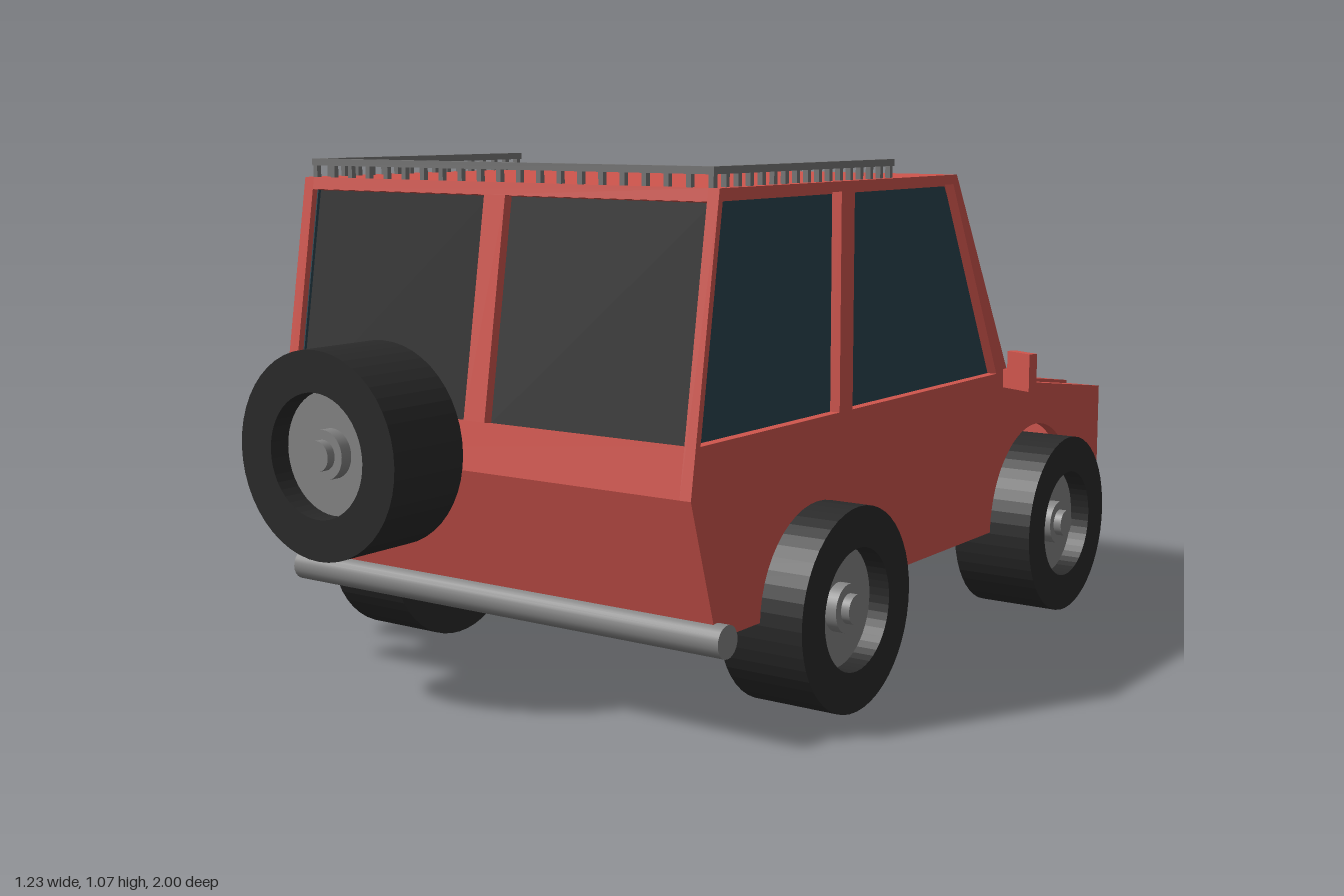
import * as THREE from 'three';

const mat = (color, side = THREE.FrontSide) => new THREE.MeshStandardMaterial({ color, side });
const RED = mat(0xd0554d, THREE.DoubleSide), GLASS = mat(0x2b4550), DARK = mat(0x2b2b2b);
const TYRE = mat(0x2a2a2a), GREY = mat(0x858585), STEEL = mat(0x777777), LENS = mat(0x9aa5a5);
const W = 0.52, T = 0.025; // half width of the body, panel thickness

function add(parent, name, geometry, material, x = 0, y = 0, z = 0) {
  const m = new THREE.Mesh(geometry, material);
  m.name = name;
  m.position.set(x, y, z);
  parent.add(m);
  return m;
}
const box = (w, h, d) => new THREE.BoxGeometry(w, h, d);
const poly = (pts) => new THREE.Shape(pts.map(([x, y]) => new THREE.Vector2(x, y)));
const extrude = (shape, depth) =>
  new THREE.ExtrudeGeometry(shape, { depth, bevelEnabled: false, curveSegments: 20 });
const rect = (x0, x1, y0, y1) => [[x0, y0], [x1, y0], [x1, y1], [x0, y1]];

// Panel across the body between two side-profile points (z, y); windows are [x0, x1, s0, s1]
function crossPanel(parent, name, a, b, windows = [], pane = GLASS) {
  const g = new THREE.Group();
  g.name = name;
  const X = new THREE.Vector3(1, 0, 0);
  const Y = new THREE.Vector3(0, b[1] - a[1], b[0] - a[0]);
  const length = Y.length();
  Y.normalize();
  g.applyMatrix4(new THREE.Matrix4().makeBasis(X, Y, X.clone().cross(Y)).setPosition(0, a[1], a[0]));
  const w = W - T + 0.004;
  const shape = poly(rect(-w, w, 0, length));
  for (const win of windows) {
    shape.holes.push(poly(rect(...win)));
    const [x0, x1, s0, s1] = win;
    add(g, name + 'Pane', box(x1 - x0 + 0.004, s1 - s0 + 0.004, 0.006), pane, (x0 + x1) / 2, (s0 + s1) / 2, -T + 0.002);
  }
  add(g, name + 'Panel', extrude(shape, T), RED, 0, 0, -T);
  parent.add(g);
  return g;
}

// Body side with wheel arches and two windows; drawn with u = -z
function bodySide(parent, side) {
  const shape = new THREE.Shape();
  shape.moveTo(-0.73, 0.21);
  shape.lineTo(-0.58, 0.21);
  shape.absarc(-0.38, 0.21, 0.2, Math.PI, 0, true);
  shape.lineTo(0.375, 0.21);
  shape.absarc(0.597, 0.21, 0.222, Math.PI, 0, true);
  [[0.97, 0.21], [0.97, 0.48], [0.46, 0.55], [0.18, 1.03], [-0.72, 1.03], [-0.81, 0.48]]
    .forEach((p) => shape.lineTo(...p));
  const windows = [
    [[-0.78, 0.575], [-0.3, 0.575], [-0.3, 1.01], [-0.71, 1.01]],
    [[-0.25, 0.575], [0.39, 0.575], [0.165, 1.01], [-0.25, 1.01]],
  ];
  for (const w of windows) {
    shape.holes.push(poly(w));
    const glass = extrude(poly(w), 0.006).rotateY(Math.PI / 2);
    add(parent, 'sideWindow', glass, GLASS, side * (W - T) - 0.003);
  }
  const panel = extrude(shape, T).rotateY(Math.PI / 2);
  add(parent, 'bodySide', panel, RED, side > 0 ? W - T : -W);
}

// Wheel with its axis on z, outer face towards +z, centred on its width
function wheel(name) {
  const g = new THREE.Group();
  g.name = name;
  const h = 0.094, R = 0.205, r = 0.123;
  const ring = new THREE.Shape().absarc(0, 0, R, 0, Math.PI * 2);
  ring.holes.push(new THREE.Path().absarc(0, 0, r, 0, Math.PI * 2));
  add(g, 'tyre', new THREE.ExtrudeGeometry(ring, { depth: 2 * h, bevelEnabled: false, curveSegments: 24 }), TYRE, 0, 0, -h);
  const disc = (n, rad, z0, z1, m) =>
    add(g, n, new THREE.CylinderGeometry(rad, rad, z1 - z0, 40).rotateX(Math.PI / 2), m, 0, 0, (z0 + z1) / 2);
  disc('tyreBack', r + 0.002, -h, 0.02, TYRE);
  disc('rim', r + 0.001, 0.02, h - 0.045, GREY);
  disc('hub', 0.049, h - 0.045, h - 0.02, GREY);
  disc('hubCap', 0.03, h - 0.02, h - 0.002, GREY);
  return g;
}

export function createModel() {
  const car = new THREE.Group();
  car.name = 'offRoadCar';

  // Body shell
  const body = new THREE.Group();
  body.name = 'body';
  car.add(body);
  bodySide(body, 1);
  bodySide(body, -1);
  crossPanel(body, 'lowerTailgate', [0.73, 0.21], [0.81, 0.48]);
  crossPanel(body, 'rearDoor', [0.81, 0.48], [0.72, 1.03],
    [[-0.495, -0.028, 0.096, 0.533], [0.025, 0.495, 0.096, 0.533]], DARK);
  crossPanel(body, 'roof', [0.72, 1.03], [-0.18, 1.03]);
  crossPanel(body, 'windscreen', [-0.18, 1.03], [-0.46, 0.55], [[-0.495, 0.495, 0.035, 0.525]]);
  const hood = crossPanel(body, 'hood', [-0.46, 0.55], [-0.97, 0.48]);
  add(hood, 'hoodRaisedPanel', box(0.91, 0.4, 0.016), RED, 0, 0.262, 0);
  crossPanel(body, 'grille', [-0.97, 0.48], [-0.97, 0.21],
    [[-0.255, -0.02, 0.04, 0.2], [0.02, 0.255, 0.04, 0.2]], DARK);

  // Floor, notched around the wheels
  const half = [[0.97, W - T], [0.82, W - T], [0.82, 0.415], [0.375, 0.415], [0.375, W - T],
    [-0.18, W - T], [-0.18, 0.415], [-0.58, 0.415], [-0.58, W - T], [-0.73, W - T]];
  const outline = [...half, ...half.map(([u, x]) => [u, -x]).reverse()].map(([u, x]) => [x, u]);
  add(body, 'floor', extrude(poly(outline), 0.015).rotateX(-Math.PI / 2), RED, 0, 0.21, 0);

  // Wheels and spare
  for (const side of [1, -1]) {
    for (const [name, z] of [['rearWheel', 0.38], ['frontWheel', -0.59]]) {
      const w = wheel(name);
      w.rotation.y = side * Math.PI / 2;
      w.position.set(side * 0.519, 0.205, z);
      car.add(w);
    }
  }
  const spare = wheel('spareWheel');
  spare.position.set(-0.22, 0.514, 0.906);
  car.add(spare);

  // Bumpers
  add(car, 'rearBumper', new THREE.CylinderGeometry(0.032, 0.032, 1.09, 24).rotateZ(Math.PI / 2), GREY, 0, 0.21, 0.73);
  add(car, 'frontBumper', box(1.04, 0.022, 0.17), STEEL, 0, 0.199, -0.902);

  // Headlights and mirrors
  for (const side of [1, -1]) {
    const rim = new THREE.Shape().absarc(0, 0, 0.072, 0, Math.PI * 2);
    rim.holes.push(new THREE.Path().absarc(0, 0, 0.056, 0, Math.PI * 2));
    add(car, 'headlightRim', extrude(rim, 0.03), GREY, side * 0.392, 0.34, -1);
    add(car, 'headlightLens', new THREE.CylinderGeometry(0.057, 0.057, 0.02, 32).rotateX(Math.PI / 2), LENS, side * 0.392, 0.34, -0.98);

    const mirror = new THREE.Group();
    mirror.name = 'mirror';
    mirror.position.set(side * 0.52, 0, -0.435);
    mirror.rotation.y = -side * 0.42;
    add(mirror, 'mirrorArm', box(0.06, 0.042, 0.018), RED, side * 0.01, 0.561, 0);
    add(mirror, 'mirrorHead', box(0.076, 0.085, 0.022), RED, side * 0.058, 0.583, 0);
    car.add(mirror);
  }

  // Roof rack: rails on three sides, carried by small posts
  const rack = new THREE.Group();
  rack.name = 'roofRack';
  car.add(rack);
  const t = 0.014, X = 0.497, Z0 = 0.065, Z1 = 0.708;
  const post = box(0.011, 0.03, 0.011);
  add(rack, 'rackRearRail', box(2 * X + t, t, t), STEEL, 0, 1.061, Z1);
  for (let i = 0; i <= 20; i++) add(rack, 'rackPost', post, STEEL, -X + (2 * X * i) / 20, 1.042, Z1);
  for (const side of [1, -1]) {
    add(rack, 'rackSideRail', box(t, t, Z1 - Z0), STEEL, side * X, 1.061, (Z0 + Z1) / 2);
    for (let i = 0; i < 16; i++) add(rack, 'rackPost', post, STEEL, side * X, 1.042, Z0 + 0.01 + ((Z1 - Z0 - 0.01) * i) / 16);
  }
  return car;
}
